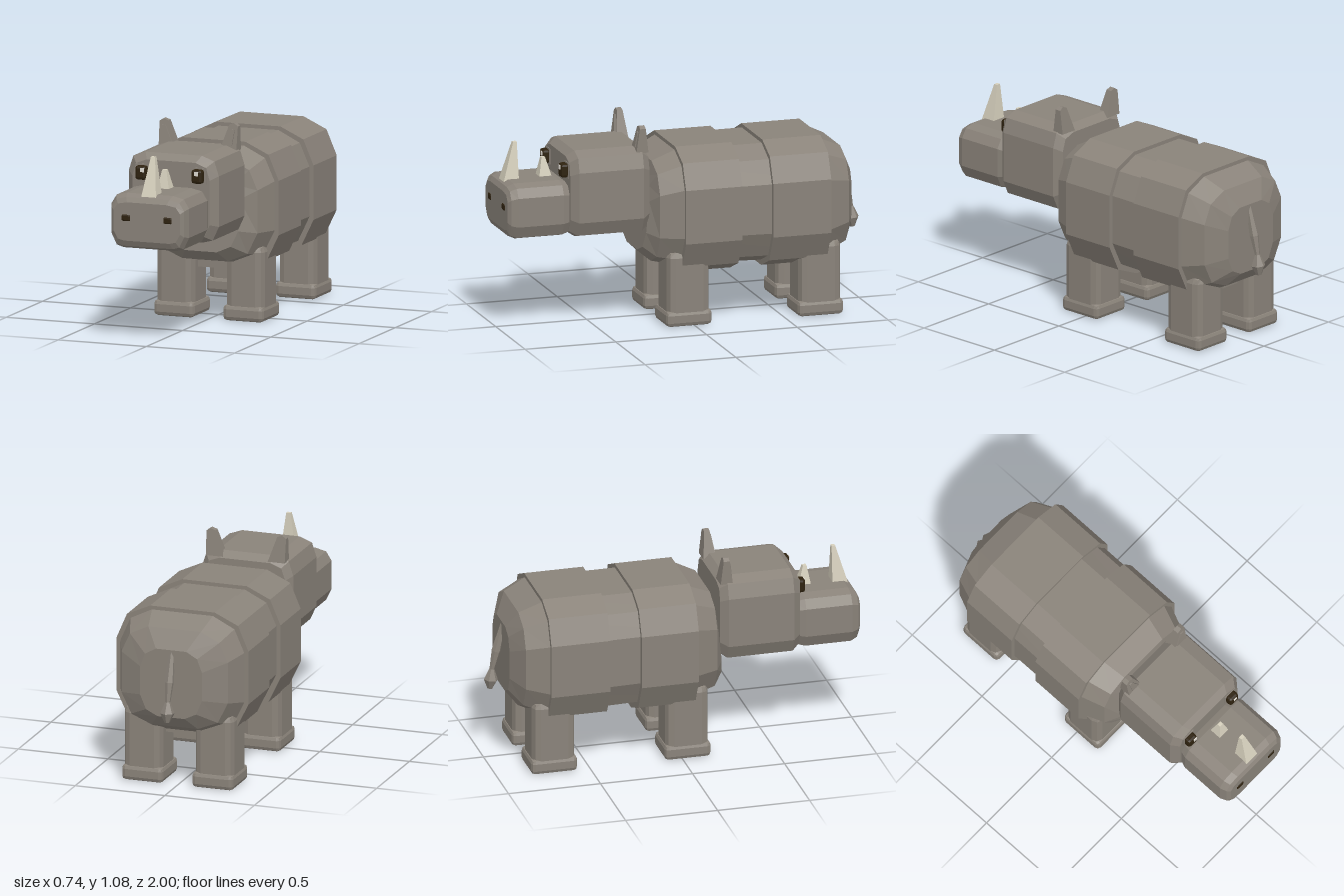
import * as THREE from 'three';
import { RoundedBoxGeometry } from 'three/addons/geometries/RoundedBoxGeometry.js';

const color = (name, hex) => {
  const m = new THREE.MeshStandardMaterial({ color: hex });
  m.name = name;
  return m;
};

// Faceted copy of a geometry
function facet(geo) {
  const g = geo.index ? geo.toNonIndexed() : geo;
  g.computeVertexNormals();
  return g;
}

// Skin a list of rings (counter-clockwise seen from the last ring) and cap both ends
function loft(rings) {
  const n = rings[0].length, index = [];
  for (let r = 0; r < rings.length - 1; r++) {
    for (let i = 0; i < n; i++) {
      const j = (i + 1) % n;
      const a = r * n + i, b = r * n + j, c = b + n, d = a + n;
      index.push(a, b, c, a, c, d);
    }
  }
  const last = (rings.length - 1) * n;
  for (let i = 1; i < n - 1; i++) {
    index.push(0, i + 1, i, last, last + i, last + i + 1);
  }
  const g = new THREE.BufferGeometry();
  g.setAttribute('position', new THREE.Float32BufferAttribute(rings.flat(2), 3));
  g.setIndex(index);
  return facet(g);
}

// Mirrored cross-section: half runs bottom to top on +x; scaled in x, remapped to y0..y1
function section(half, z, sx = 1, y0 = half[0][1], y1 = half[half.length - 1][1], lean = 0) {
  const b = half[0][1], t = half[half.length - 1][1];
  const right = half.map(([x, y]) => {
    const k = (y - b) / (t - b);
    return [x * sx, y0 + k * (y1 - y0), z - lean * k];
  });
  return [...right, ...right.map(([x, y, zz]) => [-x, y, zz]).reverse()];
}

const chamferBox = (w, h, d, r) => facet(new RoundedBoxGeometry(w, h, d, 1, r));

export function createModel() {
  const model = new THREE.Group();
  model.name = 'rhinoceros';
  const hide = color('grey hide', 0x8a837a);
  const ivory = color('horn ivory', 0xd6d0bd);
  const dark = color('dark brown', 0x2e220f);
  const white = color('eye highlight', 0xdedad2);

  const add = (name, geo, mat, x = 0, y = 0, z = 0, parent = model) => {
    const m = new THREE.Mesh(geo, mat);
    m.name = name;
    m.position.set(x, y, z);
    parent.add(m);
    return m;
  };

  // Body with rounded chest and rump
  const bodyHalf = [[0.15, 0.28], [0.28, 0.335], [0.345, 0.47], [0.345, 0.74], [0.29, 0.865], [0.17, 0.925]];
  add('body', loft([
    section(bodyHalf, -0.905, 0.5, 0.4, 0.77),
    section(bodyHalf, -0.85, 0.86, 0.335, 0.87),
    section(bodyHalf, -0.73),
    section(bodyHalf, 0.07, 1, 0.3),
    section(bodyHalf, 0.19, 0.86, 0.325, 0.87),
    section(bodyHalf, 0.25, 0.6, 0.38, 0.78, 0.04),
  ]), hide);

  // Thick skin plates around shoulders and hips
  const plateHalf = [[0.16, 0.262], [0.3, 0.32], [0.368, 0.46], [0.368, 0.75], [0.31, 0.885], [0.18, 0.945]];
  for (const [name, z0, z1] of [['hipPlate', -0.73, -0.41], ['shoulderPlate', -0.24, 0.07]]) {
    add(name, loft([section(plateHalf, z0), section(plateHalf, z1)]), hide);
  }

  // Head and muzzle
  const headHalf = [[0.16, 0.5], [0.22, 0.515], [0.255, 0.59], [0.255, 0.86], [0.23, 0.937], [0.16, 0.963]];
  add('head', loft([
    section(headHalf, 0.225, 0.88, 0.53, 0.93),
    section(headHalf, 0.265),
    section(headHalf, 0.62),
    section(headHalf, 0.66, 0.86, 0.525, 0.93),
  ]), hide);
  const muzzleHalf = [[0.15, 0.51], [0.19, 0.522], [0.22, 0.585], [0.22, 0.74], [0.19, 0.788], [0.13, 0.802]];
  add('muzzle', loft([
    section(muzzleHalf, 0.64, 0.92, 0.525, 0.785),
    section(muzzleHalf, 0.695),
    section(muzzleHalf, 0.945),
    section(muzzleHalf, 0.98, 0.94, 0.525, 0.785),
    section(muzzleHalf, 0.995, 0.86, 0.555, 0.76),
  ]), hide);

  // Horns: square spikes given as base and tip [half width, y, back z, front z]
  const square = ([w, y, zb, zf]) => [[w, y, zf], [w, y, zb], [-w, y, zb], [-w, y, zf]];
  add('frontHorn', loft([[0.043, 0.78, 0.885, 0.972], [0.012, 0.995, 0.888, 0.908]].map(square)), ivory);
  add('rearHorn', loft([[0.035, 0.79, 0.7, 0.772], [0.012, 0.9, 0.732, 0.752]].map(square)), ivory);

  // Ears: tapered wedge with a raised inner panel
  const earRing = (pts, z, slope) => pts.map(([x, y]) => [x, y, z + (y - 0.94) * slope]);
  const earShape = [[0.125, 0.935], [0.22, 0.935], [0.222, 1.065], [0.2, 1.08], [0.172, 1.07]];
  const innerShape = [[0.145, 0.96], [0.195, 0.965], [0.206, 1.045], [0.186, 1.048]];
  const earGeo = loft([earRing(earShape, 0.23, 0.12), earRing(earShape, 0.295, -0.14)]);
  const innerGeo = loft([earRing(innerShape, 0.29, -0.14), earRing(innerShape, 0.301, -0.14)]);

  for (const [side, s] of [['left', 1], ['right', -1]]) {
    const ear = new THREE.Group();
    ear.name = side + 'Ear';
    ear.scale.x = s;
    add('earShell', earGeo, hide, 0, 0, 0, ear);
    add('innerEar', innerGeo, hide, 0, 0, 0, ear);
    model.add(ear);

    // Eye, socket, highlight and nostril
    add(side + 'EyeSocket', new THREE.BoxGeometry(0.08, 0.085, 0.012), hide, s * 0.16, 0.863, 0.658);
    add(side + 'Eye', chamferBox(0.063, 0.075, 0.045, 0.014), dark, s * 0.159, 0.862, 0.677);
    add(side + 'EyeHighlight', new THREE.BoxGeometry(0.021, 0.022, 0.006), white, s * 0.16 + (s > 0 ? 0 : 0.013), 0.879, 0.7);
    add(side + 'Nostril', chamferBox(0.05, 0.036, 0.02, 0.008), dark, s * 0.118, 0.677, 0.99);

    // Legs and feet
    for (const [end, z] of [['Front', 0.03], ['Rear', -0.695]]) {
      add(side + end + 'Leg', chamferBox(0.215, 0.4, 0.23, 0.04), hide, s * 0.198, 0.21, z);
      add(side + end + 'Foot', chamferBox(0.23, 0.084, 0.25, 0.022), hide, s * 0.196, 0.042, z);
    }
  }

  // Tail: two tapering segments and a faceted tuft
  const limb = (name, a, b, ra, rb) => {
    const from = new THREE.Vector3(0, ...a), to = new THREE.Vector3(0, ...b);
    const dir = to.clone().sub(from);
    const m = add(name, facet(new THREE.CylinderGeometry(rb, ra, dir.length(), 6)), hide);
    m.position.copy(from).addScaledVector(dir, 0.5);
    m.quaternion.setFromUnitVectors(new THREE.Vector3(0, 1, 0), dir.normalize());
  };
  limb('tailBase', [0.76, -0.89], [0.6, -0.932], 0.014, 0.026);
  limb('tailMiddle', [0.6, -0.932], [0.48, -0.958], 0.024, 0.012);
  limb('tuftTop', [0.5, -0.955], [0.44, -0.96], 0.014, 0.038);
  limb('tuftTip', [0.44, -0.96], [0.39, -0.965], 0.038, 0.014);

  return model;
}
